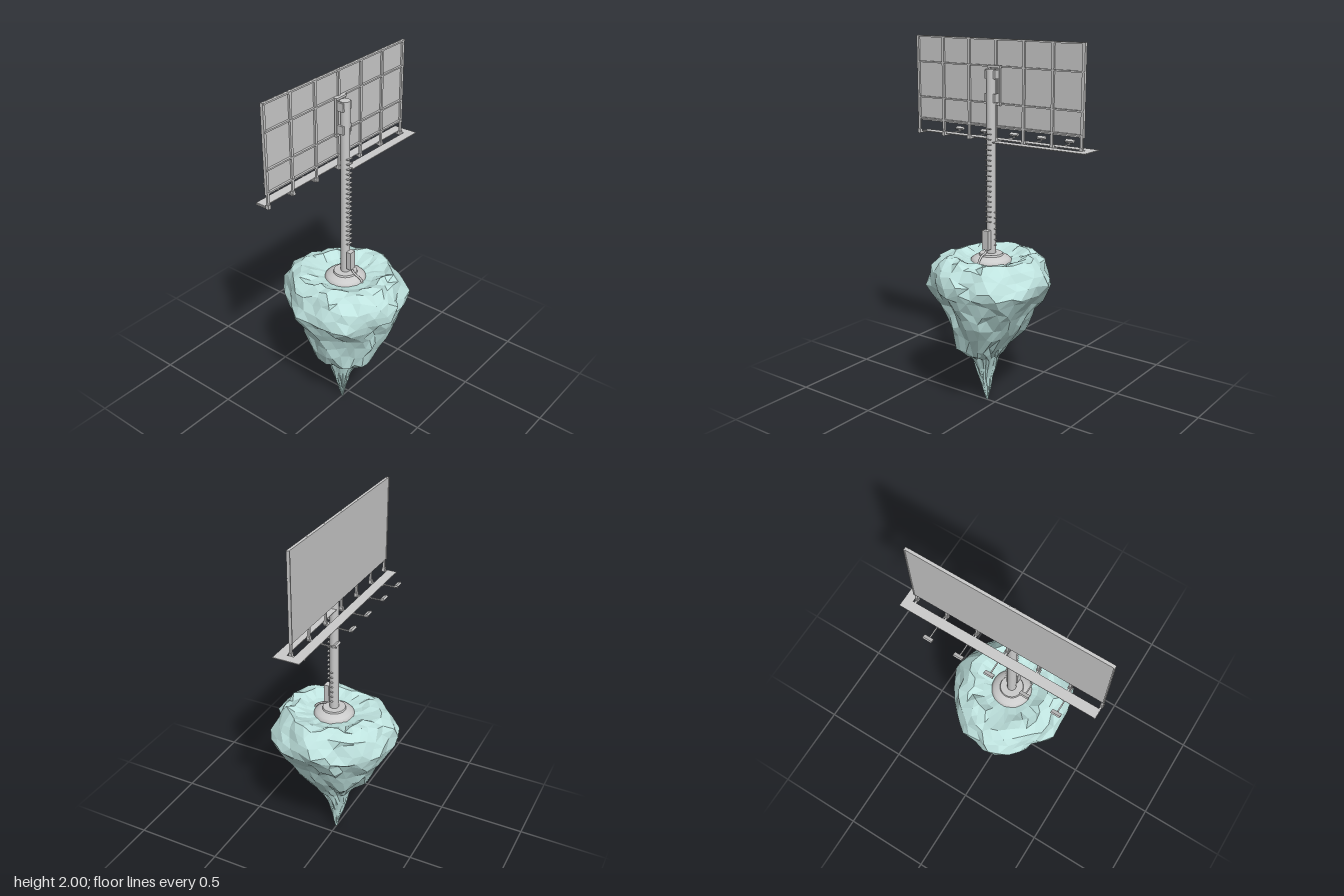
import * as THREE from 'three';

const grey = new THREE.MeshStandardMaterial({ color: 0xcccccc });
const greyFlat = new THREE.MeshStandardMaterial({ color: 0xcccccc, flatShading: true });
const rockMat = new THREE.MeshStandardMaterial({ color: 0xbfe3df, flatShading: true });
const POLE_X = -0.025;

function add(parent, name, geo, x, y, z, mat = grey) {
  const m = new THREE.Mesh(geo, mat);
  m.name = name;
  m.position.set(x, y, z);
  parent.add(m);
  return m;
}

// Box given by its limits on each axis
function box(parent, name, [x0, x1], [y0, y1], [z0, z1]) {
  return add(parent, name, new THREE.BoxGeometry(x1 - x0, y1 - y0, z1 - z0),
    (x0 + x1) / 2, (y0 + y1) / 2, (z0 + z1) / 2);
}

function seeded(seed) {
  return () => {
    seed = (seed * 16807) % 2147483647;
    return seed / 2147483647;
  };
}

// Floating rock: jittered elliptical rings from the hanging tip up over the rim to the top
function rockGeometry() {
  // y, centre x, centre z, radius x, radius z
  const rings = [
    [0.005, -0.055, 0, 0.006, 0.006], [0.08, -0.055, 0, 0.022, 0.024], [0.14, -0.06, 0, 0.036, 0.04],
    [0.21, -0.06, 0, 0.053, 0.062], [0.28, -0.055, 0.01, 0.075, 0.085], [0.32, -0.06, 0.025, 0.11, 0.13],
    [0.36, -0.07, 0.025, 0.15, 0.168], [0.44, -0.045, 0.01, 0.195, 0.215], [0.51, -0.03, 0.01, 0.225, 0.245],
    [0.57, -0.025, 0.01, 0.242, 0.268], [0.62, -0.025, 0, 0.275, 0.295], [0.67, -0.025, 0, 0.305, 0.325],
    [0.71, -0.023, 0, 0.322, 0.343], [0.755, -0.02, 0, 0.318, 0.335], [0.80, -0.02, 0, 0.3, 0.318],
    [0.835, -0.02, 0, 0.277, 0.295], [0.862, -0.02, 0, 0.24, 0.255], [0.862, -0.02, 0, 0.2, 0.21],
    [0.842, -0.02, 0, 0.15, 0.155], [0.828, -0.02, 0, 0.08, 0.08],
  ];
  const N = 30, rnd = seeded(77), pos = [], idx = [];
  rings.forEach(([y, cx, cz, rx, rz], j) => {
    const top = j > 16, flat = j > 17;
    for (let i = 0; i < N; i++) {
      const t = (i + (j % 2) * 0.5 + (rnd() - 0.5) * 0.5) / N * Math.PI * 2;
      const lump = 0.035 * Math.sin(3 * t + y * 9) + 0.03 * Math.sin(7 * t - y * 14);
      const k = 1 + (top ? 0.3 : 1) * lump + (rnd() - 0.5) * 0.09;
      const dy = j === 0 ? 0 : (rnd() - 0.5) * (flat ? 0.008 : 0.028);
      pos.push(cx + Math.cos(t) * rx * k, y + dy, cz + Math.sin(t) * rz * k);
    }
  });
  const tip = pos.length / 3, crown = tip + 1, last = (rings.length - 1) * N;
  pos.push(-0.055, 0, 0, -0.02, 0.826, 0);
  for (let i = 0; i < N; i++) {
    const n = (i + 1) % N;
    idx.push(tip, i, n, crown, last + n, last + i);
    for (let j = 0; j < rings.length - 1; j++) {
      const a = j * N + i, b = j * N + n, c = a + N, d = b + N;
      if (j % 2) idx.push(a, d, b, a, c, d);
      else idx.push(a, c, b, b, c, d);
    }
  }
  const g = new THREE.BufferGeometry();
  g.setAttribute('position', new THREE.Float32BufferAttribute(pos, 3));
  g.setIndex(idx);
  const out = g.toNonIndexed();
  out.computeVertexNormals();
  return out;
}

function buildPole() {
  const g = new THREE.Group();
  g.name = 'pole';
  g.position.x = POLE_X;
  add(g, 'poleShaft', new THREE.CylinderGeometry(0.025, 0.025, 1.01, 24), 0, 1.345, 0);
  add(g, 'poleCap', new THREE.CylinderGeometry(0.027, 0.027, 0.008, 24), 0, 1.846, 0);
  // Domed footing with a raised collar
  const dome = [[0.113, 0.815], [0.11, 0.838], [0.098, 0.85], [0.08, 0.859], [0.065, 0.864]]
    .map(([r, y]) => new THREE.Vector2(r, y));
  add(g, 'footing', new THREE.LatheGeometry(dome, 40), 0, 0, 0);
  add(g, 'collar', new THREE.CylinderGeometry(0.062, 0.066, 0.014, 32), 0, 0.867, 0);
  // Electrical box and its conduit running down over the footing
  box(g, 'electricalBox', [-0.022, 0.018], [0.9, 1.005], [0.024, 0.052]);
  const path = new THREE.CatmullRomCurve3([[0, 0.91, 0.042], [0, 0.885, 0.05], [-0.004, 0.873, 0.075],
    [0, 0.855, 0.105], [0, 0.83, 0.118]].map((p) => new THREE.Vector3(...p)));
  add(g, 'conduit', new THREE.TubeGeometry(path, 20, 0.006, 8), 0, 0, 0);
  // Climbing rungs on the front and on the side
  for (let y = 1.05; y < 1.56; y += 0.0275)
    box(g, 'frontRung', [-0.018, 0.018], [y - 0.002, y + 0.002], [0.02, 0.034]);
  for (let y = 0.92; y < 1.13; y += 0.03)
    box(g, 'sideRung', [0.02, 0.035], [y - 0.002, y + 0.002], [-0.006, 0.006]);
  // Clamps holding the sign
  for (const s of [-1, 1]) {
    box(g, 'clampChannel', s < 0 ? [-0.037, -0.026] : [0.026, 0.037], [1.66, 1.865], [-0.036, -0.024]);
    for (const y of [1.68, 1.8])
      box(g, 'clampPlate', s < 0 ? [-0.033, -0.02] : [0.02, 0.033], [y, y + 0.045], [-0.03, 0.012]);
  }
  for (const y of [1.67, 1.86])
    box(g, 'clampBar', [-0.04, 0.04], [y - 0.006, y + 0.006], [-0.04, -0.02]);
  return g;
}

function buildSign() {
  const g = new THREE.Group();
  g.name = 'sign';
  box(g, 'panel', [-0.548, 0.503], [1.54, 2], [-0.05, -0.046]);
  // Upright ribs and cross rails on the front of the panel
  for (let i = 0; i < 7; i++) {
    const x = -0.547 + i * 0.1742;
    box(g, 'rib', [x - 0.007, x + 0.007], [1.475, 2], [-0.046, -0.036]);
    box(g, 'walkwayBracket', [x - 0.005, x + 0.005], [1.467, 1.474], [-0.115, -0.034]);
    box(g, 'ribFoot', [x - 0.009, x + 0.009], [1.468, 1.49], [-0.05, -0.032]);
  }
  for (const y of [1.552, 1.67, 1.86, 1.995])
    box(g, 'rail', [-0.55, 0.505], [y - 0.004, y + 0.004], [-0.046, -0.034]);
  for (const x of [-0.552, 0.503])
    box(g, 'edgeTrim', [x - 0.002, x + 0.004], [1.54, 2], [-0.053, -0.036]);
  return g;
}

function buildWalkway() {
  const g = new THREE.Group();
  g.name = 'walkway';
  // One flat hooked deck: long run behind the panel, a turn, and a run back to the pole
  const deck = new THREE.Shape([[-0.55, 0.115], [-0.55, 0.062], [0.51, 0.062], [0.51, 0.025],
    [0.0, 0.025], [0.0, -0.026], [0.556, -0.026], [0.556, 0.115]]
    .map((p) => new THREE.Vector2(...p)));
  const geo = new THREE.ExtrudeGeometry(deck, { depth: 0.004, bevelEnabled: false });
  geo.rotateX(-Math.PI / 2);
  add(g, 'deck', geo, 0, 1.474, 0);
  return g;
}

function buildLamps() {
  const g = new THREE.Group();
  g.name = 'lamps';
  for (const x of [-0.384, -0.21, -0.013, 0.161, 0.335]) {
    box(g, 'lampArm', [x - 0.003, x + 0.003], [1.469, 1.475], [-0.195, -0.036]);
    box(g, 'lampPost', [x - 0.003, x + 0.003], [1.47, 1.488], [-0.194, -0.188]);
    const head = box(g, 'lampHead', [x - 0.025, x + 0.025], [1.483, 1.494], [-0.203, -0.182]);
    head.rotation.x = 0.45;
  }
  return g;
}

export function createModel() {
  const model = new THREE.Group();
  model.name = 'floatingSign';
  add(model, 'rock', rockGeometry(), 0, 0, 0, rockMat);
  model.add(buildPole(), buildSign(), buildWalkway(), buildLamps());
  return model;
}
